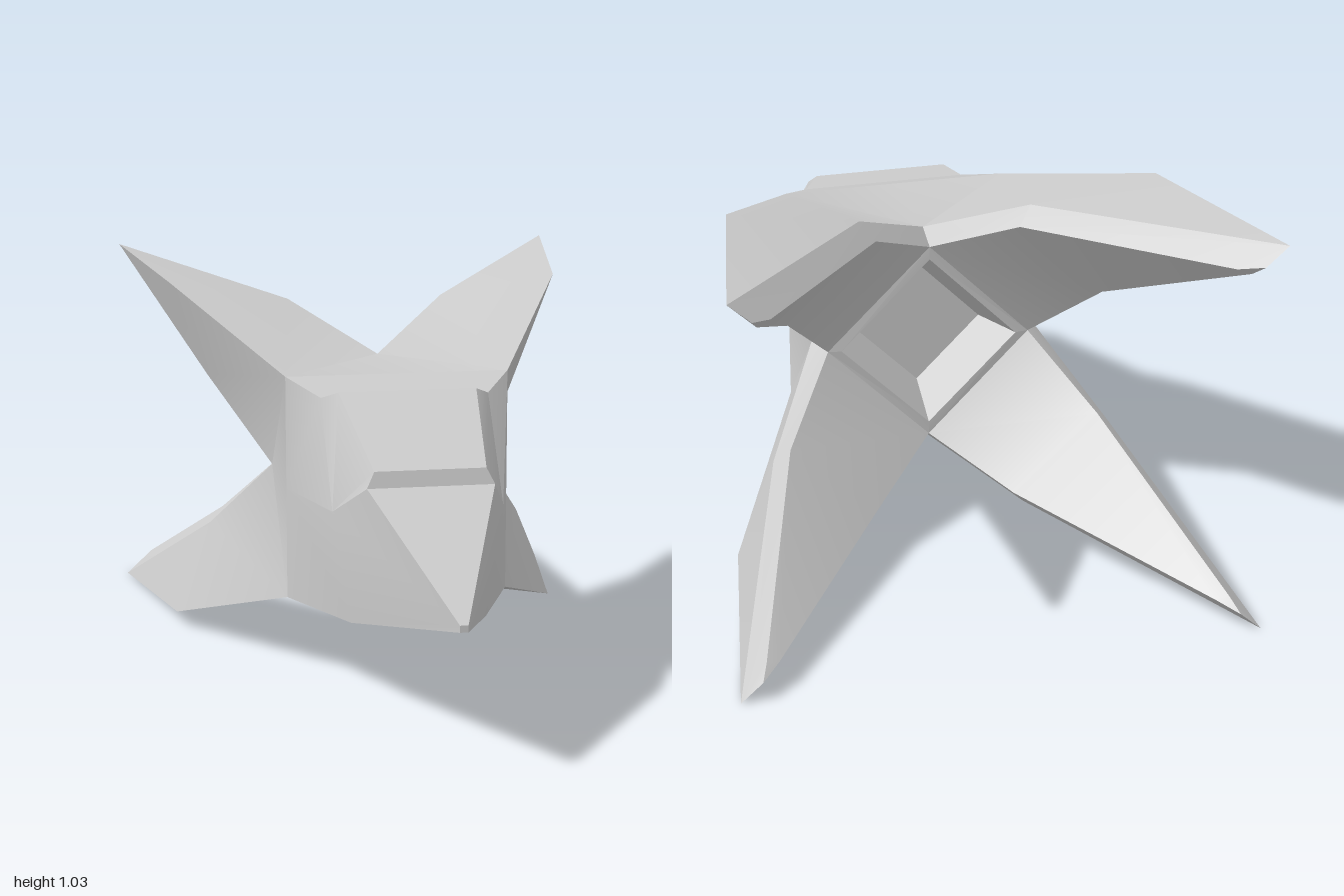
import * as THREE from 'three';
import { toCreasedNormals } from 'three/addons/utils/BufferGeometryUtils.js';

const MID = 0.52; // height of the plane the four wings mirror about

// Mirror polygons and reverse their corner order so they keep facing outward
const mirror = (faces, map) => faces.map((f) => f.map(map).reverse());
const flipX = (faces) => mirror(faces, ([x, y, z]) => [-x, y, z]);
const flipY = (faces) => mirror(faces, ([x, y, z]) => [x, 2 * MID - y, z]);
const bothSides = (faces) => [...faces, ...flipX(faces)];
const allQuarters = (faces) => bothSides([...faces, ...flipY(faces)]);

const material = new THREE.MeshStandardMaterial({ color: 0xcccccc });

// Fan-triangulate convex polygons into one mesh
function polyMesh(name, faces, crease = 0.5) {
  const pos = [];
  for (const f of faces) {
    for (let i = 1; i < f.length - 1; i++) pos.push(...f[0], ...f[i], ...f[i + 1]);
  }
  const geo = new THREE.BufferGeometry();
  geo.setAttribute('position', new THREE.Float32BufferAttribute(pos, 3));
  const mesh = new THREE.Mesh(toCreasedNormals(geo, crease), material);
  mesh.name = name;
  return mesh;
}

// Strip from the centre line out to a half-profile
const center = ([, y, z]) => [0, y, z];
const strip = (pts) => pts.slice(1).map((b, i) => [center(pts[i]), center(b), b, pts[i]]);

export function createModel() {
  const group = new THREE.Group();

  // Shoulder, ridge kink and tip of the upper wing
  const shoulder = [0.297, 0.818, 0.13], kink = [0.55, 0.997, -0.4], tip = [0.655, 1.037, -1];
  const spine = [0, 0.818, 0.13], waist = [0.297, MID, 0.13];
  // Trailing edges: valley and kink, outer and inner sides of the bevel
  const topValley = [0, 0.818, -0.18], topKink = [0.22, 0.945, -0.4];
  const sideValley = [0.297, MID, -0.17], sideKink = [0.45, 0.735, -0.4];
  const topValleyIn = [0, 0.79, -0.25], topKinkIn = [0.185, 0.9, -0.43];
  const sideValleyIn = [0.27, MID, -0.245], sideKinkIn = [0.41, 0.695, -0.425];
  const endTop = [0.55, 0.968, -0.95], endSide = [0.583, 0.957, -0.96], end = [0.6, 0.988, -1];

  // Wings: top and side skins
  group.add(polyMesh('wingSkins', allQuarters([
    [spine, shoulder, topValley], [shoulder, topKink, topValley],
    [shoulder, kink, topKink], [kink, tip, topKink],
    [waist, sideValley, shoulder], [sideValley, sideKink, shoulder],
    [sideKink, kink, shoulder], [sideKink, tip, kink],
  ])));

  // Bevels along the trailing edges
  group.add(polyMesh('wingBevels', allQuarters([
    [topValley, topKink, topKinkIn, topValleyIn], [topKink, tip, endTop, topKinkIn], [tip, end, endTop],
    [sideValley, sideValleyIn, sideKinkIn, sideKink], [sideKink, sideKinkIn, endSide, tip], [tip, endSide, end],
  ])));

  // Rear faces of the wings
  group.add(polyMesh('wingBacks', allQuarters([
    [sideKinkIn, sideValleyIn, topValleyIn], [sideKinkIn, topValleyIn, topKinkIn],
    [sideKinkIn, topKinkIn, endTop], [sideKinkIn, endTop, endSide], [endSide, endTop, end],
  ])));

  // Diamond-shaped recess at the rear: rim, walls and floor
  const rings = [
    [topValleyIn, sideValleyIn],
    [[0, 0.755, -0.25], [0.235, MID, -0.25]],
    [[0, 0.69, -0.12], [0.17, MID, -0.12]],
  ];
  const recess = [[[0, MID, -0.12], ...rings[2]]];
  for (let i = 0; i < 2; i++) {
    const [a, b] = rings[i], [c, d] = rings[i + 1];
    recess.push([a, b, d, c]);
  }
  group.add(polyMesh('rearRecess', allQuarters(recess), 0.2));

  // Forward body
  const neck = [0.22, 0.78, 0.24], cheek = [0.22, 0.525, 0.43];
  const canopyBack = [0.18, 0.8, 0.28], canopyFront = [0.14, 0.66, 0.59], sill = [0.16, 0.62, 0.6];
  const noseTop = [0.01, 0.383, 1], noseBottom = [0.01, 0.366, 1];
  const chin = [0.175, 0.235, 0.44], belly = [0.297, 2 * MID - 0.818, 0.13];
  group.add(polyMesh('bodyFlanks', bothSides([
    [shoulder, neck, cheek, waist], [neck, canopyBack, canopyFront, cheek],
    [cheek, canopyFront, sill], [cheek, sill, noseTop],
    [cheek, noseTop, noseBottom, chin], [cheek, chin, belly, waist],
  ])));
  group.add(polyMesh('neckDeck', bothSides(strip([shoulder, neck]))));
  group.add(polyMesh('canopy', bothSides(strip([neck, canopyBack, canopyFront, sill])), 0.2));
  group.add(polyMesh('nose', bothSides(strip([sill, noseTop, noseBottom, chin])), 0.2));
  group.add(polyMesh('belly', bothSides(strip([chin, belly]))));

  return group;
}
